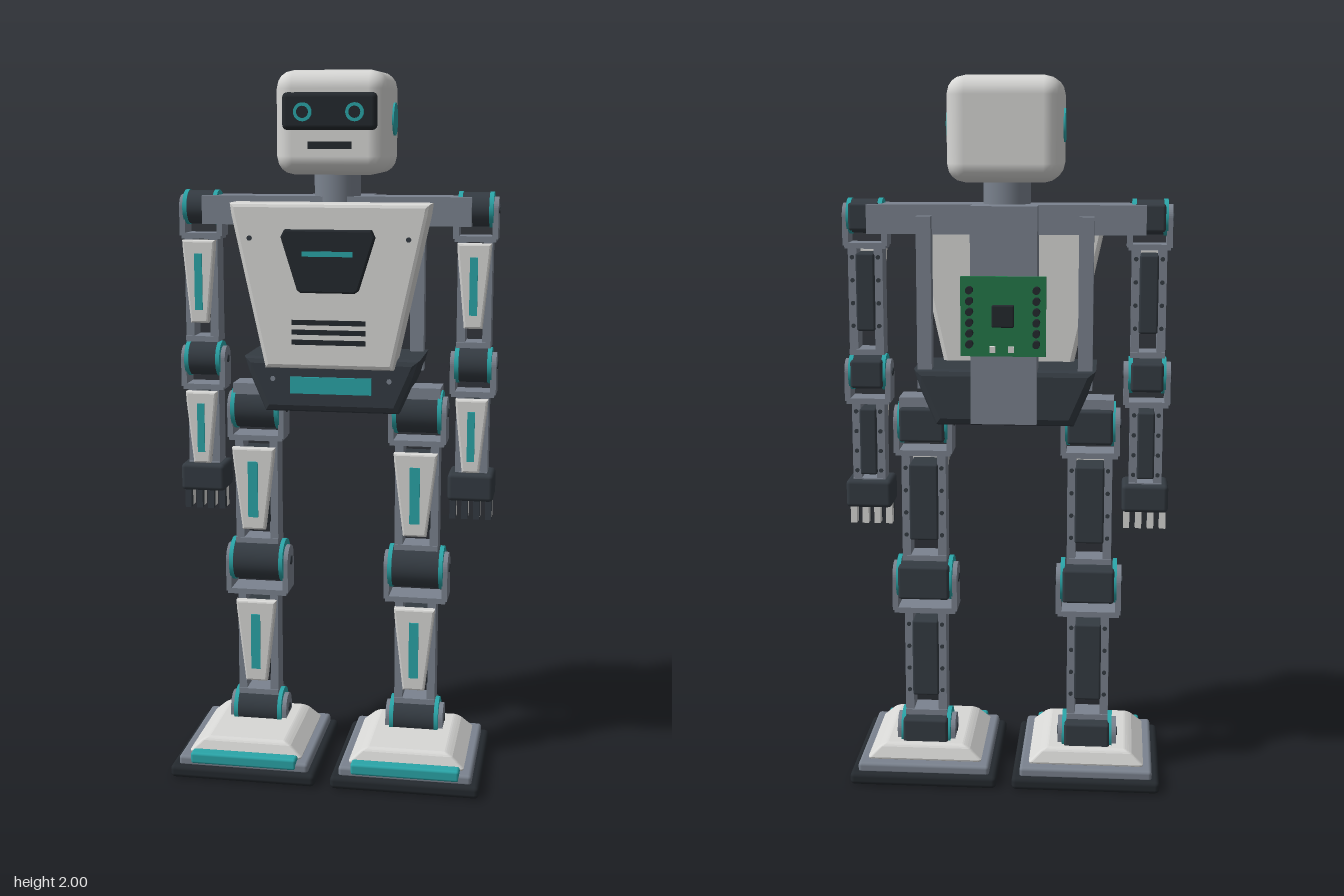
import * as THREE from 'three';
import { RoundedBoxGeometry } from 'three/addons/geometries/RoundedBoxGeometry.js';

const mat = (name, color) => {
  const m = new THREE.MeshStandardMaterial({ color });
  m.name = name;
  return m;
};

export function createModel() {
  const shell = mat('pale shell', 0xd8d8d6);
  const metal = mat('grey metal', 0x7b838f);
  const dark = mat('dark casing', 0x343b42);
  const black = mat('black rubber', 0x24292e);
  const teal = mat('teal accent', 0x2aa5a8);
  const green = mat('circuit green', 0x24794a);

  const robot = new THREE.Group();
  robot.name = 'robot';

  const add = (parent, name, geo, m, x = 0, y = 0, z = 0) => {
    const mesh = new THREE.Mesh(geo, m);
    mesh.name = name;
    mesh.position.set(x, y, z);
    parent.add(mesh);
    return mesh;
  };
  // Box from its limits, optionally rounded
  const box = (parent, name, m, [x0, x1], [y0, y1], [z0, z1], r = 0) => {
    const s = [x1 - x0, y1 - y0, z1 - z0];
    const geo = r ? new RoundedBoxGeometry(...s, 2, r) : new THREE.BoxGeometry(...s);
    return add(parent, name, geo, m, (x0 + x1) / 2, (y0 + y1) / 2, (z0 + z1) / 2);
  };
  // Bevelled plate with a front outline, running from z0 to z1
  const plate = (parent, name, m, pts, z0, z1, b = 0, x = 0) => {
    const shape = new THREE.Shape(pts.map(p => new THREE.Vector2(...p)));
    const geo = new THREE.ExtrudeGeometry(shape, {
      depth: z1 - z0 - 2 * b, bevelEnabled: b > 0, bevelSize: b, bevelThickness: b,
      bevelOffset: -b, bevelSegments: 2,
    });
    return add(parent, name, geo, m, x, 0, z0 + b);
  };
  // Mirrors a right-hand outline, listed from top to bottom
  const mirror = half => [...half.map(([x, y]) => [-x, y]), ...half.slice().reverse()];
  const discX = (parent, name, m, r, len, x, y, z) => {
    const mesh = add(parent, name, new THREE.CylinderGeometry(r, r, len, 32), m, x, y, z);
    mesh.rotation.z = Math.PI / 2;
    return mesh;
  };
  const discZ = (parent, name, m, r, len, x, y, z) => {
    const mesh = add(parent, name, new THREE.CylinderGeometry(r, r, len, 24), m, x, y, z);
    mesh.rotation.x = Math.PI / 2;
    return mesh;
  };

  // Head
  const head = new THREE.Group();
  head.name = 'head';
  robot.add(head);
  box(head, 'skull', shell, [-0.155, 0.155], [1.72, 2], [-0.188, 0.087], 0.05);
  box(head, 'visor', black, [-0.13, 0.13], [1.84, 1.94], [0.07, 0.1], 0.014);
  box(head, 'mouth', black, [-0.06, 0.06], [1.79, 1.81], [0.08, 0.092]);
  for (const s of [-1, 1]) {
    discZ(head, 'eye', teal, 0.025, 0.014, s * 0.071, 1.888, 0.101);
    discZ(head, 'pupil', black, 0.016, 0.008, s * 0.071, 1.888, 0.106);
    discX(head, 'ear', teal, 0.045, 0.012, s * 0.154, 1.87, -0.07);
  }
  add(robot, 'neck', new THREE.CylinderGeometry(0.065, 0.065, 0.09, 32), metal, 0, 1.69, -0.05);

  // Torso frame
  box(robot, 'shoulderBeam', metal, [-0.38, 0.38], [1.58, 1.66], [-0.12, 0.005]);
  box(robot, 'spine', metal, [-0.09, 0.09], [1.07, 1.66], [-0.187, -0.09]);
  for (const s of [-1, 1]) {
    box(robot, 'backPost', metal, [s * 0.22 - 0.02, s * 0.22 + 0.02], [1.16, 1.63], [-0.152, -0.11]);
  }

  // Chest shell with badge, vents and screws
  plate(robot, 'chest', shell, mirror([[0.277, 1.645], [0.272, 1.61], [0.18, 1.19]]), 0, 0.107, 0.012);
  plate(robot, 'badge', black, mirror([[0.12, 1.575], [0.13, 1.555], [0.085, 1.41], [0.075, 1.403]]), 0.1, 0.126, 0.005);
  box(robot, 'badgeLight', teal, [-0.07, 0.07], [1.503, 1.517], [0.124, 0.131]);
  for (const y of [1.265, 1.293, 1.32]) {
    box(robot, 'chestVent', black, [-0.103, 0.103], [y - 0.007, y + 0.007], [0.102, 0.11]);
  }
  for (const s of [-1, 1]) {
    discZ(robot, 'chestScrew', dark, 0.007, 0.008, s * 0.22, 1.55, 0.107);
    discZ(robot, 'pelvisScrew', metal, 0.007, 0.008, s * 0.165, 1.155, 0.07);
  }

  // Pelvis
  plate(robot, 'pelvis', dark, mirror([[0.25, 1.215], [0.235, 1.165], [0.19, 1.06]]), -0.168, 0.07, 0.02);
  box(robot, 'pelvisLight', teal, [-0.115, 0.115], [1.115, 1.162], [0.068, 0.077]);

  // Circuit board on the back
  const board = new THREE.Group();
  board.name = 'circuitBoard';
  robot.add(board);
  box(board, 'boardPlate', green, [-0.115, 0.115], [1.26, 1.475], [-0.202, -0.187]);
  box(board, 'processor', black, [-0.03, 0.03], [1.34, 1.4], [-0.218, -0.2], 0.004);
  for (let i = 0; i < 6; i++) {
    const y = 1.295 + i * 0.029;
    for (const x of [-0.09, 0.09]) {
      discZ(board, 'boardPin', black, 0.01, 0.028, x, y, -0.213);
    }
  }
  for (const x of [-0.03, 0.02]) box(board, 'connector', shell, [x, x + 0.016], [1.272, 1.288], [-0.216, -0.2]);

  // Motor joint: drum, teal rims and two round-ended side plates; dir -1 hangs down, 1 stands up
  const joint = (parent, name, x, y, r, w, reach, dir = -1) => {
    const g = new THREE.Group();
    g.name = name;
    g.position.set(x, y, -0.052);
    parent.add(g);
    discX(g, 'motorDrum', dark, r, 2 * w - 0.03, 0, 0, 0);
    box(g, 'motorCase', dark, [-w + 0.015, w - 0.015], [-r * 0.8, r * 0.8], [-r * 1.2, r * 0.3], 0.008);
    const shape = new THREE.Shape();
    const a = r * 0.75;
    shape.moveTo(-a, -reach);
    shape.lineTo(a, -reach);
    shape.lineTo(a, 0);
    shape.absarc(0, 0, a, 0, Math.PI, false);
    const ear = new THREE.ExtrudeGeometry(shape, { depth: 0.016, bevelEnabled: false, curveSegments: 10 });
    ear.rotateY(Math.PI / 2);
    if (dir > 0) ear.rotateX(Math.PI);
    for (const s of [-1, 1]) {
      discX(g, 'motorRim', teal, r * 1.05, 0.012, s * (w - 0.014), 0, 0);
      add(g, 'sidePlate', ear, metal, s * (w - 0.003) - 0.008, 0, 0);
      discX(g, 'axleBolt', dark, r * 0.22, 0.006, s * (w + 0.005), 0, 0);
    }
    if (dir < 0) box(g, 'crossPlate', metal, [-w, w], [-reach - 0.008, -reach + 0.008], [-a, a]);
    return g;
  };

  // Limb segment: twin rails, dark core, tapered cover with a light strip
  const limb = (parent, name, x, [y0, y1], [c0, c1], w, front) => {
    const g = new THREE.Group();
    g.name = name;
    g.position.x = x;
    parent.add(g);
    for (const s of [-1, 1]) {
      const c = s * (w - 0.012);
      box(g, 'rail', metal, [c - 0.012, c + 0.012], [y0, y1], [-0.086, -0.018]);
      for (let i = 0; i < 4; i++) {
        discZ(g, 'railScrew', dark, 0.006, 0.006, c, c0 + (c1 - c0) * (0.1 + i * 0.27), -0.087);
      }
    }
    box(g, 'endPlate', metal, [-w, w], [y0 - 0.008, y0 + 0.008], [-0.09, -0.014]);
    box(g, 'core', dark, [-w + 0.022, w - 0.022], [c0 + 0.01, c1 - 0.01], [-0.096, front - 0.025], 0.006);
    plate(g, 'cover', shell, mirror([[w * 0.99, c1], [w * 0.95, c1 - 0.03], [w * 0.53, c0]]), front - 0.03, front, 0.006);
    const m = (c1 - c0) * 0.16;
    box(g, 'coverLight', teal, [-w * 0.23, w * 0.23], [c0 + m, c1 - m], [front - 0.004, front + 0.004]);
  };

  for (const s of [-1, 1]) {
    const side = s > 0 ? 'left' : 'right';

    // Arm
    const arm = new THREE.Group();
    arm.name = side + 'Arm';
    robot.add(arm);
    const ax = s * 0.39;
    joint(arm, 'shoulder', ax, 1.625, 0.047, 0.057, 0.08);
    limb(arm, 'upperArm', ax, [1.25, 1.545], [1.3, 1.535], 0.048, 0.016);
    joint(arm, 'elbow', ax, 1.19, 0.049, 0.06, 0.08);
    limb(arm, 'forearm', ax, [0.88, 1.11], [0.89, 1.1], 0.046, 0.016);
    box(arm, 'palm', dark, [ax - 0.065, ax + 0.065], [0.805, 0.885], [-0.105, 0.01], 0.012);
    for (let i = 0; i < 4; i++) {
      const fx = ax + (i - 1.5) * 0.034;
      box(arm, 'finger', dark, [fx - 0.009, fx + 0.009], [0.748, 0.81], [-0.035, -0.015]);
      box(arm, 'fingerPad', shell, [fx - 0.009, fx + 0.009], [0.75, 0.81], [-0.065, -0.035]);
    }

    // Leg
    const leg = new THREE.Group();
    leg.name = side + 'Leg';
    robot.add(leg);
    const lx = s * 0.235;
    box(leg, 'hipMount', metal, [lx - 0.065, lx + 0.065], [1.07, 1.125], [-0.1, -0.01]);
    joint(leg, 'hip', lx, 1.05, 0.06, 0.078, 0.085);
    limb(leg, 'thigh', lx, [0.655, 0.97], [0.7, 0.942], 0.063, 0.03);
    joint(leg, 'knee', lx, 0.59, 0.061, 0.088, 0.09);
    limb(leg, 'shin', lx, [0.185, 0.505], [0.23, 0.478], 0.06, 0.016);
    joint(leg, 'ankle', lx, 0.128, 0.057, 0.08, 0.05, -1);

    // Foot, with the upper shell narrowing towards its top
    const foot = new THREE.Group();
    foot.name = side + 'Foot';
    foot.position.x = s * 0.234;
    robot.add(foot);
    box(foot, 'sole', black, [-0.212, 0.212], [0, 0.037], [-0.2, 0.225], 0.013);
    box(foot, 'footPlate', metal, [-0.19, 0.19], [0.03, 0.062], [-0.183, 0.207], 0.01);
    box(foot, 'toeLight', teal, [-0.155, 0.155], [0.04, 0.074], [0.17, 0.21], 0.008);
    const upper = new RoundedBoxGeometry(0.33, 0.05, 0.33, 2, 0.01);
    const p = upper.attributes.position;
    for (let i = 0; i < p.count; i++) {
      const t = Math.max(0, (p.getY(i) + 0.005) / 0.03);
      p.setX(i, p.getX(i) * (1 - 0.3 * t));
      p.setZ(i, p.getZ(i) * (1 - 0.1 * t));
    }
    upper.computeVertexNormals();
    add(foot, 'footShell', upper, shell, 0, 0.082, 0.012);
  }

  return robot;
}
